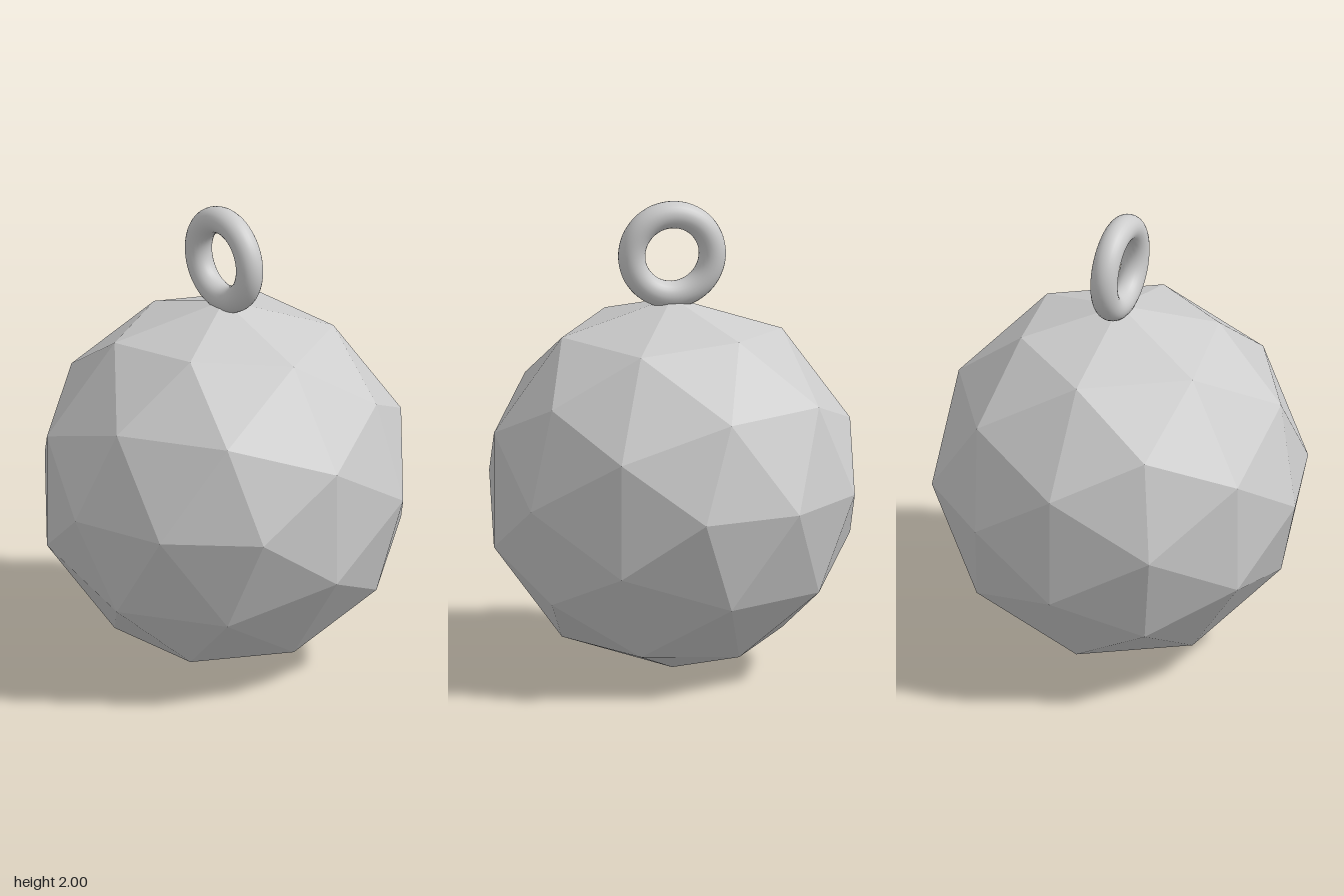
import * as THREE from 'three';

export function createModel() {
  const group = new THREE.Group();
  const grey = new THREE.MeshStandardMaterial({ color: 0xcccccc });
  grey.name = 'grey';

  // Faceted ball: an 80-sided icosphere with a five-sided corner facing front
  const radius = 0.794;
  const ballGeometry = new THREE.IcosahedronGeometry(radius, 1);
  const golden = (1 + Math.sqrt(5)) / 2;
  ballGeometry.rotateX(Math.atan(1 / golden));
  ballGeometry.rotateZ(Math.PI / 2);
  ballGeometry.computeVertexNormals(); // unshared corners give flat facets
  const ball = new THREE.Mesh(ballGeometry, grey);
  ball.name = 'ball';
  ball.position.y = radius;
  group.add(ball);

  // Smooth hanging ring, sunk slightly into the top of the ball
  const tube = 0.057;
  const ringRadius = 0.171;
  const ring = new THREE.Mesh(new THREE.TorusGeometry(ringRadius, tube, 24, 64), grey);
  ring.name = 'hangingRing';
  ring.position.y = 2 - ringRadius - tube;
  group.add(ring);

  return group;
}
